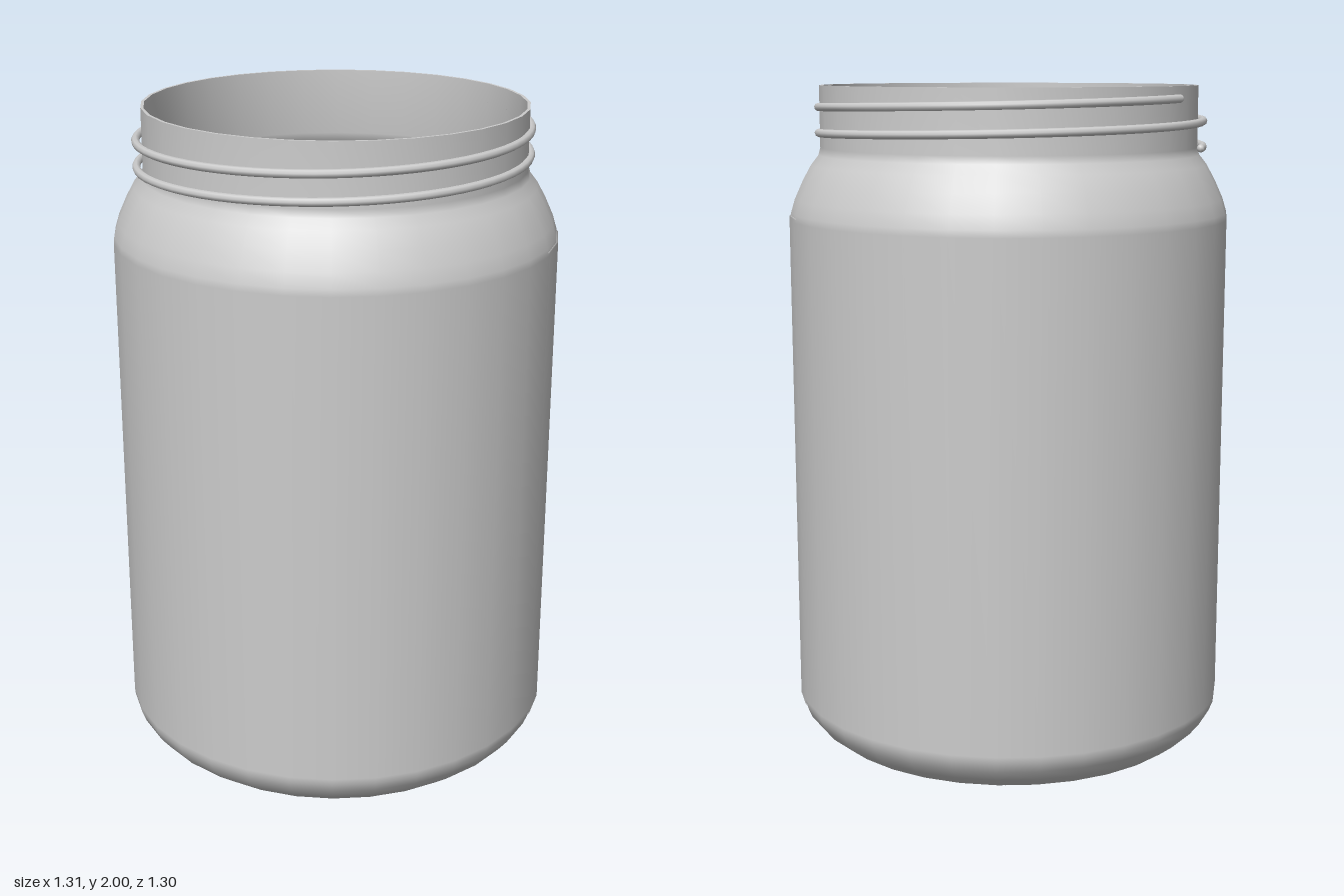
import * as THREE from 'three';

const SEGMENTS = 32;
const STEP = (Math.PI * 2) / SEGMENTS;

export function createModel() {
  const jar = new THREE.Group();
  jar.name = 'jar';
  const material = new THREE.MeshStandardMaterial({ color: 0xcccccc });

  const add = (name, geometry, parent = jar) => {
    const mesh = new THREE.Mesh(geometry, material);
    mesh.name = name;
    parent.add(mesh);
    return mesh;
  };

  // Turned part from [radius, height] pairs; upward profiles face out, downward face in
  const turned = (name, profile, start = 0, count = SEGMENTS) => add(name,
    new THREE.LatheGeometry(profile.map(([r, y]) => new THREE.Vector2(r, y)),
      count, start * STEP, count * STEP));

  // Hollow underside
  turned('underside', [[0, 0.08], [0.15, 0.074], [0.28, 0.056], [0.38, 0.03], [0.44, 0.008]]);
  turned('footRing', [[0.44, 0.008], [0.51, 0.008]]);

  // Outer wall: rounded heel, straight side, shoulder and neck in one smooth sweep
  turned('outerWall', [[0.51, 0.008], [0.565, 0.03], [0.61, 0.065], [0.638, 0.1],
    [0.65, 0.13], [0.652, 0.15], [0.652, 1.61], [0.65, 1.63], [0.638, 1.67],
    [0.613, 1.725], [0.588, 1.77], [0.566, 1.798], [0.56, 1.82], [0.56, 2]]);
  turned('rim', [[0.56, 2], [0.551, 2]]);

  // Label panel: thin upright strip on one side, with a lip turned in at the bottom
  turned('labelPanel', [[0.641, 0.1], [0.655, 0.135], [0.655, 1.62], [0.65, 1.622]], 8, 3);

  // Inner surface, facing the inside
  turned('innerWall', [[0.551, 2], [0.551, 1.8], [0.575, 1.765], [0.6, 1.722],
    [0.625, 1.667], [0.636, 1.61], [0.636, 0.16], [0.62, 0.11], [0.59, 0.07],
    [0.545, 0.036], [0.51, 0.02], [0.485, 0.017], [0.44, 0.03], [0.38, 0.048],
    [0.28, 0.072], [0.15, 0.09], [0, 0.096]]);

  // Screw thread: almost two turns up the neck
  const path = [];
  const turns = 1.945;
  const steps = 126;
  for (let i = 0; i <= steps; i++) {
    const turn = (i / steps) * turns;
    const a = Math.PI * 1.5 + turn * Math.PI * 2;
    path.push(new THREE.Vector3(0.57 * Math.sin(a) - 0.005,
      1.82 + 0.075 * turn, 0.57 * Math.cos(a) + 0.005));
  }
  add('screwThread', new THREE.TubeGeometry(new THREE.CatmullRomCurve3(path), 130, 0.012, 8));

  // Thread ends
  for (const end of [path[0], path[steps]]) {
    add('threadEnd', new THREE.SphereGeometry(0.012, 8, 6)).position.copy(end);
  }

  // Ring of radial grip ridges under the base
  const ridges = new THREE.Group();
  ridges.name = 'baseRidges';
  jar.add(ridges);
  const ridge = new THREE.SphereGeometry(1, 8, 6).scale(0.011, 0.012, 0.036);
  const ridgeCount = 80;
  for (let i = 0; i < ridgeCount; i++) {
    const a = (i / ridgeCount) * Math.PI * 2;
    const mesh = add('baseRidge', ridge, ridges);
    mesh.position.set(0.478 * Math.sin(a), 0.012, 0.478 * Math.cos(a));
    mesh.rotation.y = a;
  }

  return jar;
}
